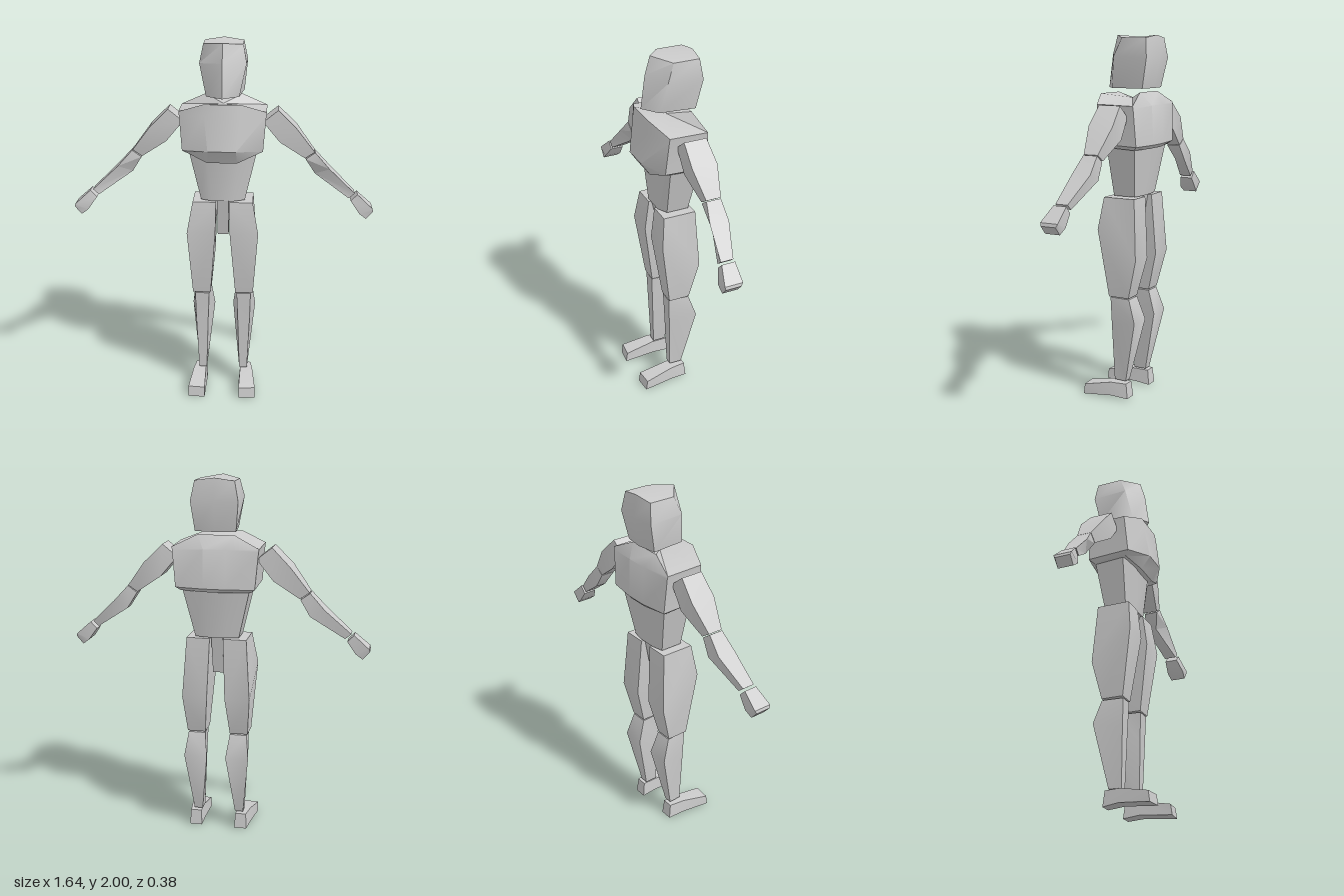
import * as THREE from 'three';
import { toCreasedNormals } from 'three/addons/utils/BufferGeometryUtils.js';

const material = new THREE.MeshStandardMaterial({ color: 0xcccccc });

// Skin a stack of equal-sized rings, cap both ends, and turn the faces outward
function loft(name, rings, crease = 0.6) {
  const n = rings[0].length;
  const points = rings.flat();
  const faces = [];
  for (let r = 0; r < rings.length - 1; r++) {
    for (let i = 0; i < n; i++) {
      const a = r * n + i, b = r * n + (i + 1) % n;
      faces.push([a, b, b + n], [a, b + n, a + n]);
    }
  }
  [0, rings.length - 1].forEach((r, end) => {
    const middle = [0, 1, 2].map(k => rings[r].reduce((sum, p) => sum + p[k], 0) / n);
    const c = points.push(middle) - 1;
    for (let i = 0; i < n; i++) {
      const a = r * n + i, b = r * n + (i + 1) % n;
      faces.push(end ? [a, b, c] : [b, a, c]);
    }
  });

  const v = points.map(p => new THREE.Vector3(...p));
  const base = v[0];
  let volume = 0;
  for (const [a, b, c] of faces) {
    const [p, q, s] = [a, b, c].map(i => v[i].clone().sub(base));
    volume += p.dot(q.cross(s));
  }
  const index = faces.flatMap(([a, b, c]) => (volume < 0 ? [a, c, b] : [a, b, c]));

  const geometry = new THREE.BufferGeometry().setFromPoints(v);
  geometry.setIndex(index);
  const mesh = new THREE.Mesh(toCreasedNormals(geometry, crease), material);
  mesh.name = name;
  return mesh;
}

// Complete a ring from its left half, listed from front to back
const mirrorRing = half => [
  ...half,
  ...half.filter(p => p[0] > 0).reverse().map(([x, y, z]) => [-x, y, z]),
];

// Leg section: [inner x, outer x, y, z] at the front and at the back
const legRing = (f, b = f) => [
  [f[0], f[2], f[3]], [f[1], f[2], f[3]],
  [b[1], b[2], b[3]], [b[0], b[2], b[3]],
];

// Arm section: upper [x, y], lower [x, y], front z, back z, lower front z
const armRing = (u, l, front, back, lowFront = front) => [
  [...u, front], [...u, back], [...l, back], [...l, lowFront],
];

export function createModel() {
  const model = new THREE.Group();
  model.name = 'figure';

  // Head, wedge-shaped at the front
  model.add(loft('head', [
    [[0, 1.72, 0.116], [0.088, 1.72, 0.05], [0.11, 1.72, -0.145], [0, 1.72, -0.16]],
    [[0, 1.9, 0.092], [0.125, 1.89, 0.018], [0.127, 1.88, -0.178], [0, 1.88, -0.193]],
    [[0, 2, 0.063], [0.106, 1.985, -0.02], [0.106, 1.985, -0.165], [0, 2, -0.175]],
  ].map(mirrorRing), 0.95));

  // Broad chest with sloping shoulders and a tucked lower edge
  model.add(loft('chest', [
    [[0.08, 1.37, 0.1], [0.19, 1.41, 0.05], [0.19, 1.4, -0.14], [0.06, 1.4, -0.17]],
    [[0.075, 1.445, 0.15], [0.217, 1.43, 0.075], [0.215, 1.42, -0.165], [0.06, 1.42, -0.187]],
    [[0.095, 1.63, 0.122], [0.232, 1.62, 0.06], [0.232, 1.62, -0.157], [0.06, 1.63, -0.178]],
    [[0.1, 1.69, 0.112], [0.235, 1.64, 0.058], [0.235, 1.635, -0.155], [0.1, 1.7, -0.127]],
  ].map(mirrorRing)));

  // Tapering waist
  model.add(loft('waist', [
    [[0.06, 1.14, 0.05], [0.12, 1.14, 0.02], [0.12, 1.14, -0.105], [0.05, 1.14, -0.12]],
    [[0.09, 1.42, 0.072], [0.185, 1.42, 0.03], [0.185, 1.42, -0.14], [0.07, 1.42, -0.16]],
  ].map(mirrorRing)));

  // Narrow wedge between the thighs
  model.add(loft('pelvis', [
    [[0.03, 0.93, 0], [0.03, 0.93, -0.07]],
    [[0.032, 1.15, 0.045], [0.032, 1.15, -0.11]],
  ].map(mirrorRing)));

  // Limbs are described on the left (+x) and repeated on the right
  const limbs = {
    Thigh: [
      legRing([0.037, 0.165, 1.135, 0.058], [0.037, 0.165, 1.135, -0.127]),
      legRing([0.04, 0.197, 0.96, 0.08], [0.05, 0.188, 0.8, -0.148]),
      legRing([0.07, 0.17, 0.585, 0.026], [0.07, 0.17, 0.585, -0.095]),
    ],
    Shin: [
      legRing([0.078, 0.157, 0.578, 0.024], [0.07, 0.165, 0.578, -0.095]),
      legRing([0.085, 0.153, 0.42, 0.018], [0.053, 0.182, 0.45, -0.138]),
      legRing([0.095, 0.139, 0.1, 0.008], [0.095, 0.142, 0.1, -0.063]),
    ],
    // Foot sections run from heel to toe
    Foot: [
      [[0.095, 0.005, -0.085], [0.165, 0.005, -0.085], [0.16, 0.09, -0.075], [0.1, 0.09, -0.075]],
      [[0.093, 0.015, 0.01], [0.178, 0.015, 0.01], [0.172, 0.09, 0.015], [0.1, 0.09, 0.015]],
      [[0.097, 0, 0.19], [0.19, 0, 0.182], [0.19, 0.058, 0.174], [0.097, 0.058, 0.182]],
    ],
    UpperArm: [
      armRing([0.296, 1.64], [0.215, 1.575], 0.01, -0.115),
      armRing([0.397, 1.54], [0.307, 1.465], 0.012, -0.128),
      armRing([0.497, 1.405], [0.445, 1.37], -0.018, -0.1),
    ],
    Forearm: [
      armRing([0.5, 1.402], [0.449, 1.365], -0.018, -0.098),
      armRing([0.58, 1.315], [0.502, 1.278], 0, -0.105, -0.045),
      armRing([0.72, 1.183], [0.688, 1.155], 0.01, -0.06),
    ],
    Hand: [
      armRing([0.735, 1.178], [0.7, 1.14], 0.012, -0.062),
      armRing([0.818, 1.105], [0.747, 1.075], 0.035, -0.065),
      armRing([0.822, 1.088], [0.785, 1.045], 0.03, -0.055),
    ],
  };
  for (const [part, rings] of Object.entries(limbs)) {
    for (const [side, s] of [['left', 1], ['right', -1]]) {
      model.add(loft(side + part, rings.map(ring => ring.map(([x, y, z]) => [s * x, y, z]))));
    }
  }
  return model;
}
